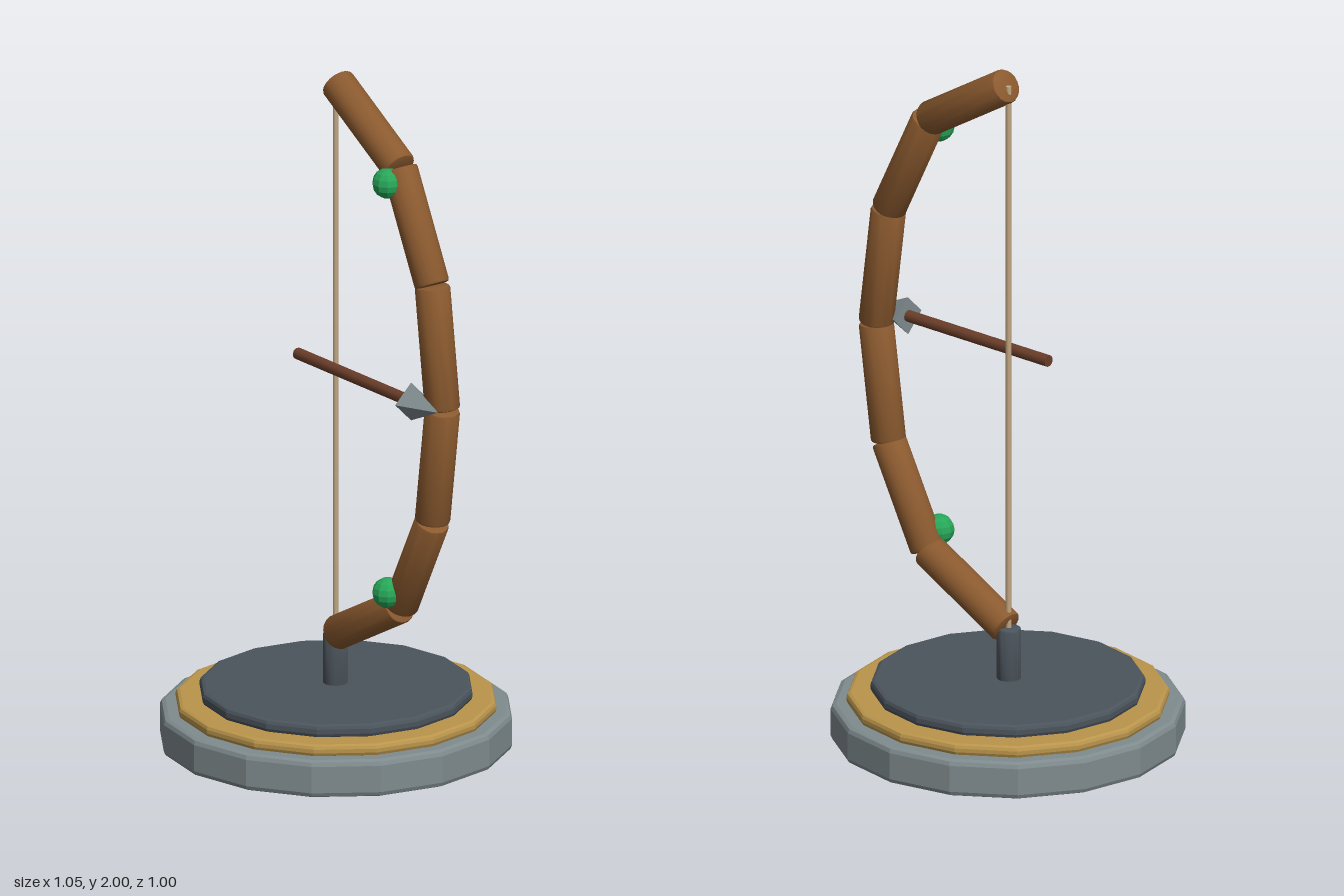
import * as THREE from 'three';
import { toCreasedNormals } from 'three/addons/utils/BufferGeometryUtils.js';

const mat = (name, color) => {
  const m = new THREE.MeshStandardMaterial({ color });
  m.name = name;
  return m;
};

// Bevelled cylinder along y, from 0 to h
function bevelled(r, h, bevel, sides, crease) {
  const k = bevel * 0.3;
  const profile = [
    [0, 0], [r - bevel, 0], [r - k, k], [r, bevel],
    [r, h - bevel], [r - k, h - k], [r - bevel, h], [0, h],
  ].map(([x, y]) => new THREE.Vector2(x, y));
  return toCreasedNormals(new THREE.LatheGeometry(profile, sides), crease);
}

export function createModel() {
  const group = new THREE.Group();
  const stone = mat('stone grey', 0x7f8b8e);
  const gold = mat('gold', 0xba954c);
  const slate = mat('dark slate', 0x4b545c);
  const wood = mat('bow wood', 0x8b5a2f);
  const shaftWood = mat('shaft wood', 0x6b3e2a);
  const cord = mat('cord', 0xc4a882);
  const green = mat('gem green', 0x27a658);

  const add = (name, geometry, material, x, y, z) => {
    const mesh = new THREE.Mesh(geometry, material);
    mesh.name = name;
    mesh.position.set(x, y, z);
    group.add(mesh);
    return mesh;
  };
  const cx = -0.03;

  // Stepped pedestal
  add('baseStep', bevelled(0.5, 0.11, 0.016, 16, 0.35), stone, cx, 0, 0);
  add('goldStep', bevelled(0.455, 0.035, 0.012, 16, 0.35), gold, cx, 0.107, 0);
  add('topStep', bevelled(0.387, 0.038, 0.012, 16, 0.35), slate, cx, 0.141, 0);
  add('post', bevelled(0.035, 0.16, 0.006, 12, 0.6), slate, cx - 0.003, 0.17, 0);

  // Bow limbs, one straight rod between each pair of joints
  const joints = [
    [-0.025, 1.96], [0.268, 1.785], [0.42, 1.477], [0.467, 1.122],
    [0.42, 0.778], [0.272, 0.487], [-0.025, 0.328],
  ].map(([x, y]) => new THREE.Vector3(x, y, 0));
  const up = new THREE.Vector3(0, 1, 0);
  for (let i = 0; i < joints.length - 1; i++) {
    const dir = joints[i + 1].clone().sub(joints[i]);
    const { x, y } = joints[i];
    const limb = add('bowLimb' + (i + 1), bevelled(0.05, dir.length(), 0.008, 20, 0.6), wood, x, y, 0);
    limb.quaternion.setFromUnitVectors(up, dir.normalize());
  }

  // Bow string
  add('bowString', new THREE.CylinderGeometry(0.008, 0.008, 1.63, 8), cord, -0.032, 1.145, 0);

  // Arrow
  const shaft = add('arrowShaft', new THREE.CylinderGeometry(0.017, 0.017, 0.54, 10), shaftWood, 0.14, 1.14, 0.06);
  shaft.rotation.z = -Math.PI / 2;
  const headGeometry = toCreasedNormals(new THREE.ConeGeometry(0.056, 0.125, 4), 0.3);
  const head = add('arrowHead', headGeometry, stone, 0.4625, 1.14, 0.06);
  head.rotation.z = -Math.PI / 2;

  // Gems on the front of the limbs
  for (const [name, y] of [['upperGem', 1.75], ['lowerGem', 0.535]]) {
    const gem = toCreasedNormals(new THREE.SphereGeometry(0.044, 10, 8), 0.1);
    add(name, gem, green, 0.27, y, 0.045);
  }
  return group;
}
